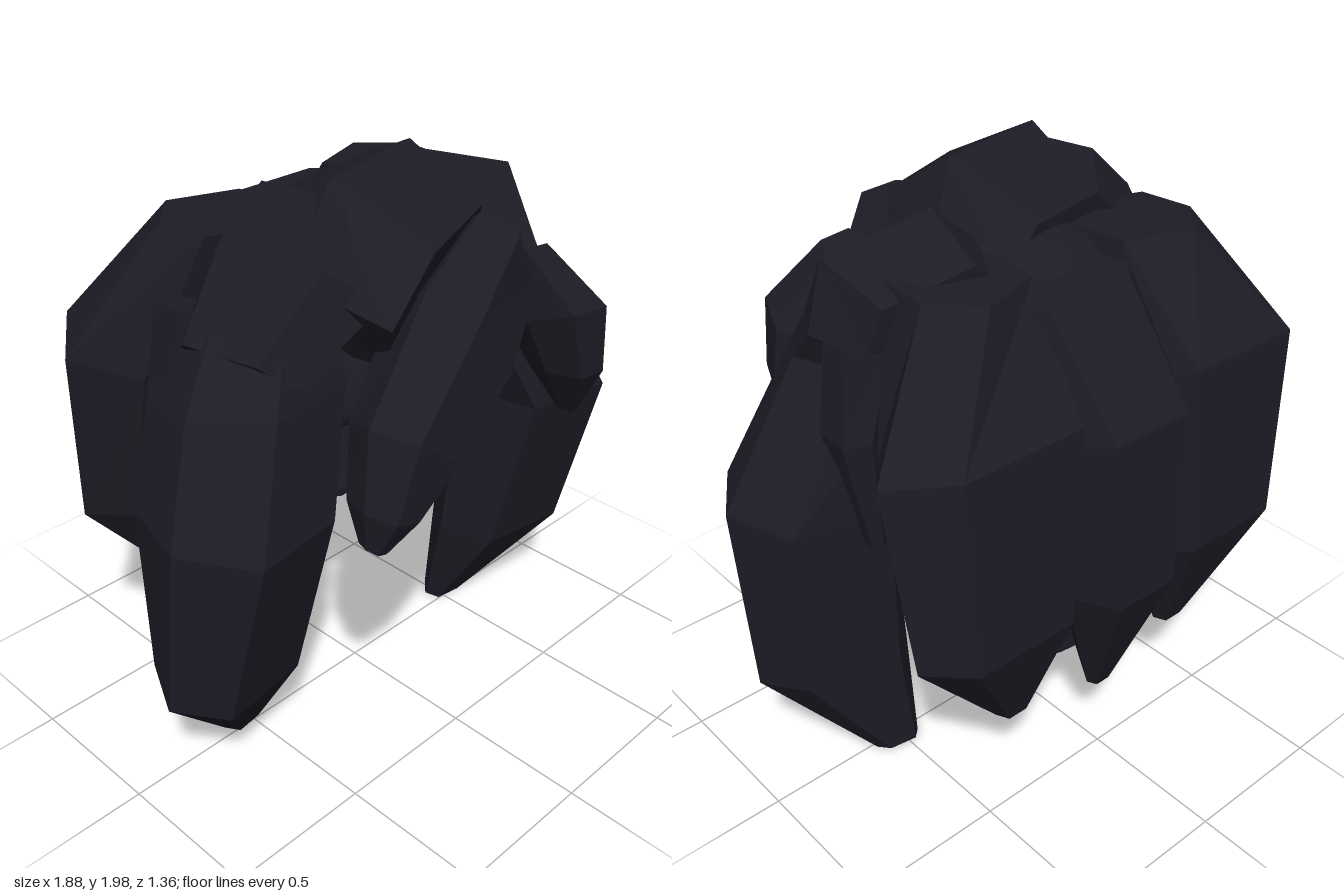
import * as THREE from 'three';

const flat = new THREE.MeshStandardMaterial({ color: 0x1d1c26, flatShading: true });
const smooth = new THREE.MeshStandardMaterial({ color: 0x1d1c26, side: THREE.DoubleSide });

// Six-sided cross-section: points at both sides, flat front and back
const HEX = [[1, 0], [0.6, 1], [-0.6, 1], [-1, 0], [-0.6, -1], [0.6, -1]];

// A tapered lock of hair. Path rows: x, y, z, half width, half thickness and,
// where it differs from "side", the direction of the width; m = -1 mirrors it.
// With levelStart the first cross-section lies flat.
function lock(name, side, path, m = 1, levelStart = false) {
  const pts = path.map(([x, y, z]) => new THREE.Vector3(x * m, y, z));
  const pos = [], idx = [], n = HEX.length, last = path.length - 1;
  pts.forEach((p, i) => {
    const [, , , width, depth, [sx, sy, sz] = side] = path[i];
    const t = pts[Math.min(i + 1, last)].clone().sub(pts[Math.max(i - 1, 0)]);
    if (levelStart && i === 0) t.set(0, -1, 0);
    const s = new THREE.Vector3(sx * m, sy, sz).normalize();
    const d = new THREE.Vector3().crossVectors(s, t).normalize();
    for (const [a, b] of HEX) {
      const v = p.clone().addScaledVector(s, a * width).addScaledVector(d, b * depth);
      pos.push(v.x, v.y, v.z);
    }
  });
  for (let i = 0; i < last; i++) {
    for (let j = 0; j < n; j++) {
      const a = i * n + j, b = i * n + (j + 1) % n;
      idx.push(a, a + n, b, b, a + n, b + n);
    }
  }
  const e = last * n;
  for (let j = 1; j < n - 1; j++) idx.push(0, j, j + 1, e, e + j + 1, e + j);
  const indexed = new THREE.BufferGeometry();
  indexed.setAttribute('position', new THREE.Float32BufferAttribute(pos, 3));
  indexed.setIndex(idx);
  const geo = indexed.toNonIndexed();
  geo.computeVertexNormals();
  const mesh = new THREE.Mesh(geo, flat);
  mesh.name = name;
  return mesh;
}

// Scalp: a dome whose lower half is pulled down into a skirt, long at the back
function scalp() {
  const geo = new THREE.SphereGeometry(1, 24, 14, 0, Math.PI * 2, 0, Math.PI * 0.96);
  const p = geo.attributes.position;
  for (let i = 0; i < p.count; i++) {
    let x = p.getX(i), y = p.getY(i), z = p.getZ(i);
    if (y >= 0) {
      y = 1.25 + y * 0.57;
    } else {
      const r = Math.hypot(x, z), drop = -y;
      const front = Math.max(z / r, -0.8);
      const k = (1 - 0.2 * drop) / r;
      x *= k;
      z *= k;
      y = 1.25 - drop * (0.43 - 0.5 * front);
    }
    p.setXYZ(i, x * 0.56, y, z * 0.47 - 0.06);
  }
  geo.computeVertexNormals();
  const mesh = new THREE.Mesh(geo, smooth);
  mesh.name = 'scalp';
  return mesh;
}

export function createModel() {
  const g = new THREE.Group();
  g.name = 'hair';
  g.add(scalp());

  // Long side locks: the left one rises over the crown, the right one starts lower
  const sideEnd = [
    [0.675, 1.03, 0.17, 0.27, 0.25],
    [0.675, 0.41, 0.09, 0.27, 0.165],
    [0.53, 0.02, -0.04, 0.08, 0.045],
  ];
  const slope = [1, -0.3, 0.3];
  g.add(lock('leftSideLock', [1, 0, 0.15], [
    [0.41, 1.65, -0.2, 0.24, 0.14, slope],
    [0.38, 1.67, 0.03, 0.3, 0.19, slope],
    [0.4, 1.57, 0.11, 0.29, 0.2, slope],
    ...sideEnd,
  ]));
  g.add(lock('rightSideLock', [1, 0, 0.15], [
    [0.47, 1.58, 0.06, 0.2, 0.21],
    [0.55, 1.38, 0.1, 0.26, 0.25],
    ...sideEnd,
  ], -1));

  // Mirrored locks at the back and around the ears
  for (const [m, tag] of [[1, 'left'], [-1, 'right']]) {
    g.add(lock(tag + 'BackLock', [1, 0, 0], [
      [0.35, 1.785, -0.21, 0.2, 0.17, [1, 0, -0.35]],
      [0.46, 1.38, -0.42, 0.36, 0.2],
      [0.46, 0.76, -0.5, 0.31, 0.13],
      [0.37, 0.36, -0.45, 0.06, 0.04],
    ], m, true));
    g.add(lock(tag + 'EarLock', [0, 0, 1], [
      [0.58, 1.6, -0.07, 0.1, 0.11],
      [0.65, 1.34, -0.08, 0.09, 0.08],
      [0.61, 0.94, -0.1, 0.04, 0.03],
    ], m));
  }

  // Centre lock at the back
  g.add(lock('centreBackLock', [1, 0, 0], [
    [0.06, 1.73, -0.32, 0.27, 0.12],
    [0.02, 1.33, -0.5, 0.25, 0.18],
    [0, 0.76, -0.52, 0.2, 0.16],
    [0, 0.29, -0.48, 0.045, 0.03],
  ], 1, true));

  // Raised crown lock sweeping forward, and its slope down to the right side
  g.add(lock('crownLock', [1, 0, -0.22], [
    [-0.14, 1.72, -0.13, 0.27, 0.12],
    [-0.12, 1.73, 0.14, 0.36, 0.26],
    [-0.06, 1.64, 0.39, 0.34, 0.2, [1, 0, -0.4]],
  ]));
  g.add(lock('crownSideLock', [0.2, 0, 1], [
    [-0.24, 1.85, 0.12, 0.24, 0.14],
    [-0.38, 1.68, 0.14, 0.3, 0.16],
    [-0.61, 1.47, 0.13, 0.22, 0.1],
  ]));

  // Fringe swept to one side, and a short bang on the other
  g.add(lock('sweptFringe', [-0.4, 0.85, 0], [
    [0.17, 1.66, 0.42, 0.19, 0.11],
    [-0.12, 1.53, 0.51, 0.22, 0.15, [-0.5, 0.8, 0]],
    [-0.35, 1.3, 0.55, 0.18, 0.13, [-0.8, 0.55, 0]],
    [-0.45, 1.12, 0.56, 0.08, 0.1, [-1, 0.3, 0]],
    [-0.48, 1.0, 0.55, 0.03, 0.04, [-1, 0.3, 0]],
  ]));
  g.add(lock('shortBang', [1, -0.1, 0], [
    [0.29, 1.64, 0.39, 0.09, 0.1],
    [0.4, 1.44, 0.49, 0.14, 0.14],
    [0.45, 1.24, 0.51, 0.1, 0.11],
    [0.5, 1.06, 0.5, 0.03, 0.03],
  ]));
  return g;
}
